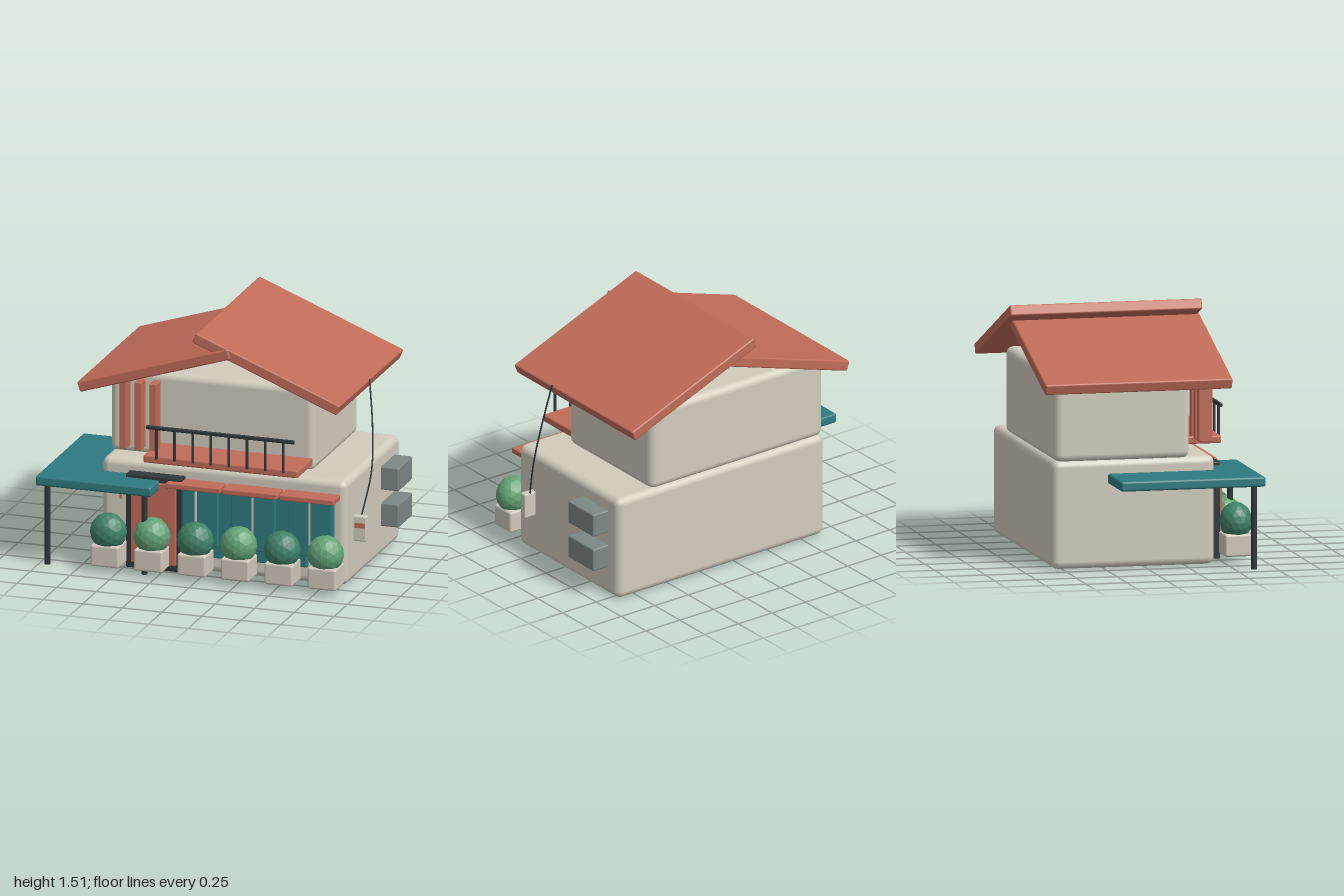
import * as THREE from 'three';
import { RoundedBoxGeometry } from 'three/addons/geometries/RoundedBoxGeometry.js';

const material = (name, color, extra = {}) => {
  const m = new THREE.MeshStandardMaterial({ color, ...extra });
  m.name = name;
  return m;
};

export function createModel() {
  const cream = material('cream plaster', 0xd2ccbd);
  const terracotta = material('terracotta', 0xc06b58);
  const teal = material('teal', 0x2d7a80);
  const charcoal = material('charcoal', 0x30373a);
  const grey = material('grey metal', 0x7b8886);
  const stone = material('pot stone', 0xd0c8bb);
  const darkLeaf = material('dark leaf', 0x3f8266, { flatShading: true });
  const lightLeaf = material('light leaf', 0x63a376, { flatShading: true });

  const house = new THREE.Group();
  house.name = 'house';

  const add = (name, geometry, mat, x = 0, y = 0, z = 0) => {
    const mesh = new THREE.Mesh(geometry, mat);
    mesh.name = name;
    mesh.position.set(x, y, z);
    house.add(mesh);
    return mesh;
  };
  // Rounded block given by its limits on each axis
  const block = (name, mat, [x0, x1], [y0, y1], [z0, z1], radius = 0.008) =>
    add(name, new RoundedBoxGeometry(x1 - x0, y1 - y0, z1 - z0, 2, radius), mat,
      (x0 + x1) / 2, (y0 + y1) / 2, (z0 + z1) / 2);
  // Plain thin plate
  const plate = (name, mat, w, h, d, x, y, z) =>
    add(name, new THREE.BoxGeometry(w, h, d), mat, x, y, z);

  // Two storeys
  block('groundFloor', cream, [-0.66, 0.885], [0.005, 0.663], [-0.565, 0.435], 0.045);
  block('upperFloor', cream, [-0.66, 0.627], [0.65, 1.175], [-0.55, 0.28], 0.045);

  // Roof slabs, each laid along a sloping centre line
  const roof = (name, [x0, y0], [x1, y1], [z0, z1]) => {
    const length = Math.hypot(x1 - x0, y1 - y0);
    const slab = add(name, new RoundedBoxGeometry(length, 0.066, z1 - z0, 2, 0.01), terracotta,
      (x0 + x1) / 2, (y0 + y1) / 2, (z0 + z1) / 2);
    slab.rotation.z = Math.atan2(y1 - y0, x1 - x0);
  };
  roof('roofRight', [-0.055, 1.49], [0.855, 1.125], [-0.68, 0.5]);
  roof('roofLeft', [-0.78, 1.11], [0.17, 1.412], [-0.638, 0.512]);

  // Balcony with railing
  block('balconyFloor', terracotta, [-0.36, 0.615], [0.69, 0.737], [0.262, 0.545], 0.01);
  block('balconyRail', charcoal, [-0.34, 0.595], [0.905, 0.928], [0.537, 0.557], 0.006);
  for (let i = 0; i < 8; i++) {
    add('baluster', new THREE.CylinderGeometry(0.008, 0.008, 0.19, 10), charcoal,
      -0.275 + i * 0.1143, 0.815, 0.547);
  }

  // Upright sun fins beside the balcony
  for (let i = 0; i < 3; i++) {
    const x = -0.522 + i * 0.095;
    block('sunFin', terracotta, [x - 0.022, x + 0.022], [0.73, 1.155], [0.36, 0.448], 0.006);
  }

  // Porch canopy on two posts
  block('canopy', teal, [-1, -0.27], [0.515, 0.576], [-0.225, 0.664], 0.014);
  for (const x of [-0.942, -0.33]) {
    add('canopyPost', new THREE.CylinderGeometry(0.018, 0.018, 0.51, 16), charcoal, x, 0.268, 0.605);
  }

  // Entrance
  block('doorFrame', charcoal, [-0.482, -0.13], [0.012, 0.597], [0.43, 0.508], 0.005);
  block('door', terracotta, [-0.445, -0.163], [0.052, 0.56], [0.455, 0.528], 0.006);
  plate('doorPlate', terracotta, 0.014, 0.055, 0.008, -0.505, 0.475, 0.532);

  // Shop windows: a recessed band, three panels, mullions and awnings
  block('windowBand', teal, [-0.16, 0.645], [0.11, 0.545], [0.425, 0.464], 0.005);
  for (let i = 0; i < 3; i++) {
    const x = -0.045 + i * 0.359;
    block('windowPanel', teal, [x - 0.136, x + 0.136], [0.19, 0.55], [0.43, 0.492], 0.005);
    plate('mullion', cream, 0.012, 0.35, 0.008, x, 0.37, 0.494);
    block('awning', terracotta, [x - 0.172, x + 0.172], [0.545, 0.58], [0.43, 0.555], 0.007);
  }

  // Row of potted shrubs
  for (let i = 0; i < 6; i++) {
    const x = -0.565 + i * 0.274;
    block('plantPot', stone, [x - 0.09, x + 0.09], [0.045, 0.18], [0.497, 0.662], 0.014);
    const shrub = add('shrub', new THREE.IcosahedronGeometry(1, 2), i % 2 ? lightLeaf : darkLeaf,
      x, 0.25, 0.583);
    shrub.scale.set(0.113, 0.115, 0.098);
  }

  // Air conditioners on the side wall
  for (const y of [0.19, 0.418]) {
    block('airConditioner', grey, [0.86, 0.996], [y, y + 0.146], [-0.466, -0.21], 0.01);
  }

  // Meter box and its overhead cable
  block('meterBox', cream, [0.87, 0.965], [0.255, 0.412], [0.258, 0.305], 0.008);
  plate('meterPlate', terracotta, 0.065, 0.03, 0.006, 0.925, 0.355, 0.306);
  const cable = new THREE.CatmullRomCurve3([
    new THREE.Vector3(0.923, 0.405, 0.265),
    new THREE.Vector3(0.957, 0.66, 0.18),
    new THREE.Vector3(0.944, 0.91, 0.122),
    new THREE.Vector3(0.906, 1.2, 0.065),
  ]);
  add('cable', new THREE.TubeGeometry(cable, 24, 0.005, 8), charcoal);

  return house;
}
